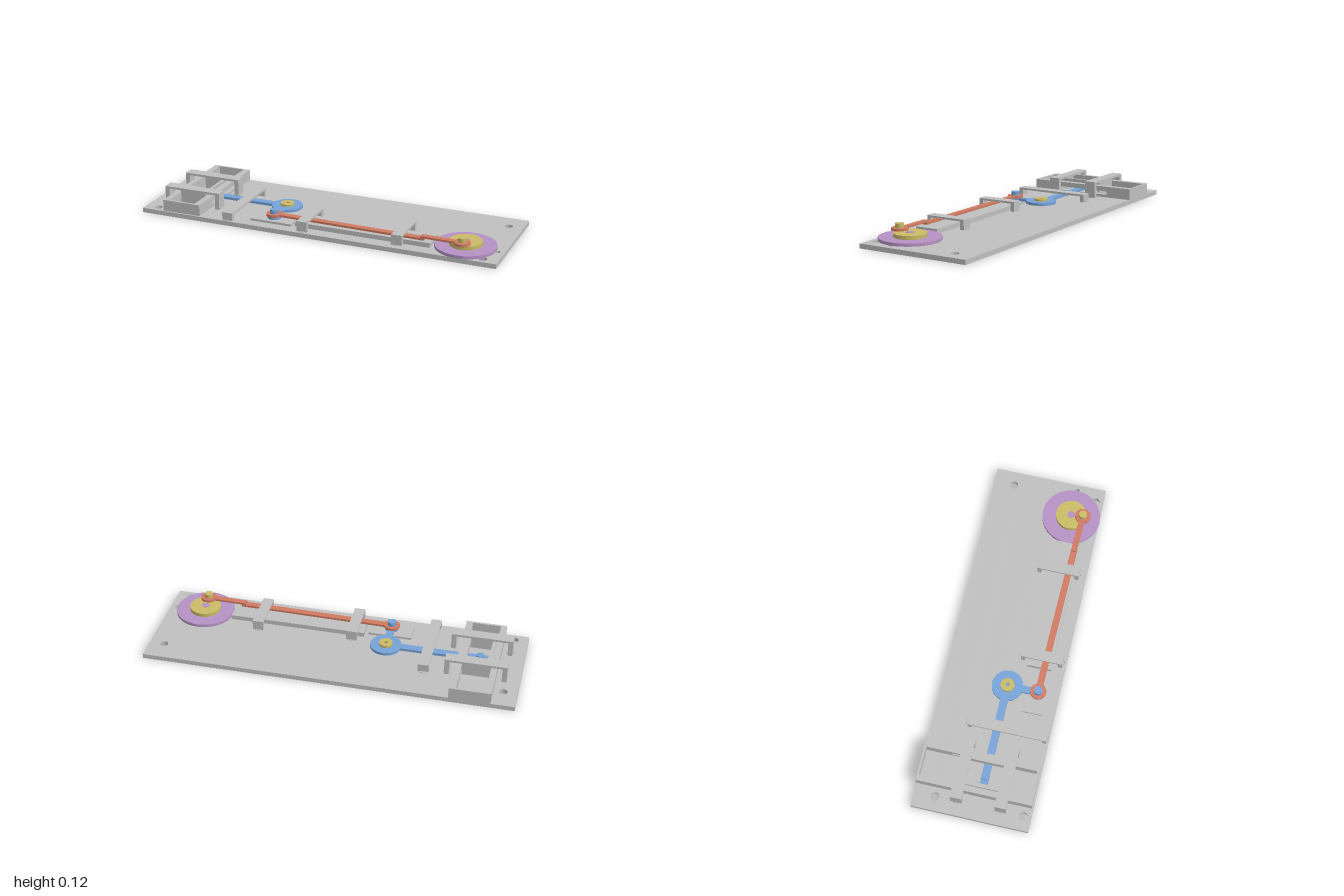
import * as THREE from 'three';

const mat = (name, color) => { const m = new THREE.MeshStandardMaterial({ color }); m.name = name; return m; };

export function createModel() {
  const model = new THREE.Group();
  model.name = 'linkageMechanism';
  const grey = mat('grey', 0xbfbfc0), blue = mat('blue', 0x76a3d8), red = mat('red', 0xd07a62);
  const yellow = mat('yellow', 0xcabb66), purple = mat('purple', 0xb592c4);

  const add = (name, geo, m) => {
    const mesh = new THREE.Mesh(geo, m);
    mesh.name = name;
    model.add(mesh);
    return mesh;
  };
  // box given by its limits on each axis
  const box = (name, m, x0, x1, y0, y1, z0, z1) =>
    add(name, new THREE.BoxGeometry(x1 - x0, y1 - y0, z1 - z0), m)
      .position.set((x0 + x1) / 2, (y0 + y1) / 2, (z0 + z1) / 2);
  // upright cylinder
  const disc = (name, m, x, z, r, y0, y1) =>
    add(name, new THREE.CylinderGeometry(r, r, y1 - y0, 40), m).position.set(x, (y0 + y1) / 2, z);
  // flat outline in x and z, with round holes [x, z, r], raised from y0 to y1
  const slab = (name, m, shape, holes, y0, y1) => {
    for (const [x, z, r] of holes) shape.holes.push(new THREE.Path().absarc(x, -z, r, 0, Math.PI * 2, true));
    const geo = new THREE.ExtrudeGeometry(shape, { depth: y1 - y0, bevelEnabled: false, curveSegments: 20 });
    geo.rotateX(-Math.PI / 2).translate(0, y0, 0);
    add(name, geo, m);
  };
  const rect = (x0, x1, z0, z1) => new THREE.Shape([
    new THREE.Vector2(x0, -z1), new THREE.Vector2(x1, -z1),
    new THREE.Vector2(x1, -z0), new THREE.Vector2(x0, -z0)]);
  const circle = (x, z, r) => new THREE.Shape().absarc(x, -z, r, 0, Math.PI * 2, false);
  // straight bar between two points in plan
  const bar = (name, m, xa, za, xb, zb, w, y0, y1) => {
    const mesh = add(name, new THREE.BoxGeometry(Math.hypot(xb - xa, zb - za), y1 - y0, w), m);
    mesh.position.set((xa + xb) / 2, (y0 + y1) / 2, (za + zb) / 2);
    mesh.rotation.y = -Math.atan2(zb - za, xb - xa);
  };

  // base plate with mounting holes, peg holes and the wheel opening
  const T = 0.025, wheel = [0.795, 0.155];
  const pegs = [
    [-0.49, -0.12], [-0.49, 0.29], [-0.06, 0.08], [-0.06, 0.28], [0.46, 0.055], [0.46, 0.26],
    [-0.915, -0.088], [-0.613, -0.088], [-0.915, 0.148], [-0.613, 0.148]];
  const corners = [[-0.925, -0.2], [-0.925, 0.27], [0.92, -0.2], [0.92, 0.27]];
  slab('basePlate', grey, rect(-1, 1, -0.315, 0.312), [
    ...corners.map(([x, z]) => [x, z, 0.022]),
    ...pegs.map(([x, z]) => [x, z, 0.021]),
    [...wheel, 0.152], [0.965, 0.155, 0.013], [0.625, 0.155, 0.013]], 0, T);
  for (const [x, z] of pegs) disc('bracketPeg', grey, x, z, 0.0195, 0.001, T + 0.002);

  // raised guides under the link
  box('shortRaisedPad', grey, -0.375, -0.14, T, 0.037, 0.14, 0.25);
  box('longRaisedRail', grey, -0.12, 0.63, T, 0.05, 0.11, 0.24);

  // bridges crossing the base from back to front
  for (const [x, z0, z1, top] of [[-0.49, -0.125, 0.3, 0.068], [-0.06, 0.067, 0.292, 0.08], [0.46, 0.043, 0.272, 0.08]]) {
    box('bridgeTop', grey, x - 0.029, x + 0.029, top - 0.011, top, z0, z1);
    for (const z of [z0, z1 - 0.022]) box('bridgeLeg', grey, x - 0.029, x + 0.029, T, top - 0.011, z, z + 0.022);
  }

  // sliding frame: end walls, solid left wall, right wall with a window
  const X0 = -0.875, X1 = -0.655, H = 0.087;
  box('frameBackWall', grey, X0, X1, T, H, -0.315, -0.303);
  box('frameFrontWall', grey, X0, X1, T, H, 0.29, 0.303);
  box('frameOuterWall', grey, X0, -0.843, T, H, -0.303, 0.29);
  const wx = [-0.69, X1];
  box('windowSill', grey, ...wx, T, 0.04, -0.303, 0.29);
  box('windowLintel', grey, ...wx, 0.06, H, -0.303, 0.29);
  box('windowBackPier', grey, ...wx, 0.04, 0.06, -0.303, -0.165);
  box('windowFrontPier', grey, ...wx, 0.04, 0.06, 0.15, 0.29);

  // raised rim in the middle of the frame
  const rimY = [T, 0.104];
  box('rimOuterSide', grey, -0.843, -0.822, ...rimY, -0.1, 0.16);
  box('rimInnerSide', grey, -0.705, -0.69, 0.06, 0.104, -0.1, 0.16);
  for (const z of [-0.1, 0.148]) box('rimEnd', grey, -0.843, -0.69, ...rimY, z, z + 0.012);

  // brackets holding the frame down
  for (const [z0, z1] of [[-0.118, -0.057], [0.118, 0.178]]) {
    box('frameBracketTop', grey, -0.93, -0.6, 0.105, 0.117, z0, z1);
    for (const x of [-0.93, -0.625]) box('frameBracketLeg', grey, x, x + 0.025, T, 0.105, z0, z1);
  }

  // blue bell crank with its pins and yellow pivot
  const px = -0.258, pz = 0.032;
  disc('crankHub', blue, px, pz, 0.084, 0.04, 0.055);
  box('crankLongArm', blue, -0.81, px - 0.06, 0.04, 0.0545, pz - 0.021, pz + 0.021);
  box('crankShortArm', blue, px - 0.019, px + 0.019, 0.04, 0.0545, pz + 0.06, 0.2);
  disc('crankArmEnd', blue, px, 0.2, 0.036, 0.04, 0.055);
  disc('sliderPin', blue, -0.77, pz, 0.021, 0.054, 0.07);
  disc('linkPin', blue, px, 0.2, 0.023, 0.055, 0.09);
  disc('pivotPost', grey, px, pz, 0.02, T, 0.04);
  slab('pivotCap', yellow, circle(px, pz, 0.037), [[px, pz, 0.011]], 0.055, 0.067);

  // red connecting link, stepping up at its right end
  const rx = wheel[0], rz = 0.22;
  slab('linkLeftEye', red, circle(px, 0.2, 0.043), [[px, 0.2, 0.0235]], 0.055, 0.068);
  bar('linkRod', red, px + 0.034, 0.201, 0.595, 0.215, 0.035, 0.056, 0.0675);
  bar('linkRaisedEnd', red, 0.575, 0.215, rx - 0.034, rz - 0.001, 0.032, 0.067, 0.0775);
  slab('linkRightEye', red, circle(rx, rz, 0.043), [[rx, rz, 0.0225]], 0.066, 0.078);

  // purple wheel, yellow cam and crank pin
  disc('wheelHub', purple, ...wheel, 0.151, 0, T);
  disc('wheelRim', purple, ...wheel, 0.161, T, 0.041);
  disc('cam', yellow, ...wheel, 0.086, 0.041, 0.061);
  disc('wheelShaft', purple, ...wheel, 0.021, 0.06, 0.063);
  disc('camPin', yellow, rx, rz, 0.022, 0.061, 0.101);

  return model;
}
